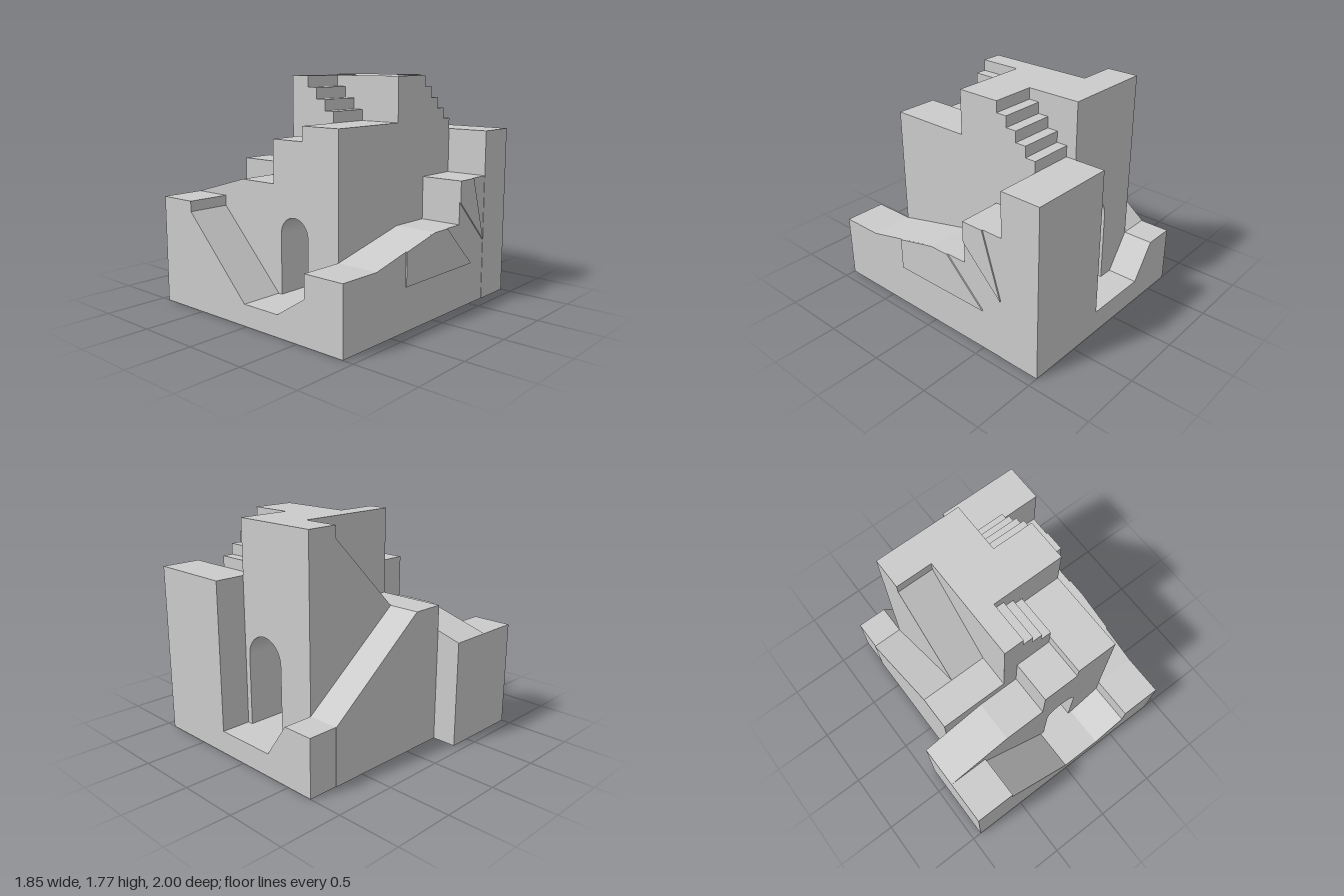
import * as THREE from 'three';

const mat = new THREE.MeshStandardMaterial({ color: 0xcccccc, flatShading: true });

function outline(points) {
  return new THREE.Shape(points.map(([a, b]) => new THREE.Vector2(a, b)));
}

// Round-headed opening cut through a wall
function arch(x0, x1, floor, top) {
  const r = (x1 - x0) / 2;
  const p = new THREE.Path();
  p.moveTo(x0, floor);
  p.lineTo(x1, floor);
  p.lineTo(x1, top - r);
  p.absarc((x0 + x1) / 2, top - r, r, 0, Math.PI, false);
  p.lineTo(x0, floor);
  return p;
}

export function createModel() {
  const group = new THREE.Group();

  function add(name, geometry) {
    const mesh = new THREE.Mesh(geometry, mat);
    mesh.name = name;
    group.add(mesh);
  }

  // Front-facing (x, y) profile, solid from z0 to z1
  function slabZ(name, points, z0, z1, hole) {
    const s = outline(points);
    if (hole) s.holes.push(hole);
    const g = new THREE.ExtrudeGeometry(s, { depth: z1 - z0, bevelEnabled: false, curveSegments: 20 });
    add(name, g.translate(0, 0, z0));
  }

  // Side-facing (z, y) profile, solid from x0 to x1
  function slabX(name, points, x0, x1) {
    const s = outline(points.map(([z, y]) => [-z, y]));
    const g = new THREE.ExtrudeGeometry(s, { depth: x1 - x0, bevelEnabled: false });
    add(name, g.rotateY(Math.PI / 2).translate(x0, 0, 0));
  }

  // Stepped edge: successive [position, height] corners going down
  function steps(start, stride, top, drop, treads) {
    const pts = [[start, top]];
    for (let i = 1; i <= treads; i++) {
      pts.push([start + stride * (i - 1), top - drop * i], [start + stride * i, top - drop * i]);
    }
    return pts;
  }

  const frontArch = () => arch(0.015, 0.285, 0.165, 0.76);

  // Tower hall with the rear archway
  slabZ('rearHall', [[-0.18, 0], [0.235, 0], [0.235, 1.77], [-0.18, 1.77]], -0.76, 0,
    arch(-0.165, 0.19, 0.18, 0.92));

  // Hall below the sideways stair, solid behind and arched in front
  const stairHall = [[-0.18, 0], [-0.18, 1.77], ...steps(-0.02, 0.085, 1.77, 0.085, 3),
    [0.235, 1.43], [0.575, 1.43], [0.575, 0]];
  slabZ('sideStairRear', stairHall, 0, 0.1);
  slabZ('sideStairFront', stairHall, 0.1, 0.33, frontArch());

  // Front wall with sloped wing, low turret and tall pier
  slabZ('frontWall', [[-0.925, 0], [0.575, 0], [0.575, 1.43], [0.235, 1.43], [0.235, 1.32],
    [-0.06, 1.32], [-0.06, 0.99], [-0.4, 0.99], [-0.925, 0.84]], 0.33, 0.66, frontArch());

  // Forecourt with slopes on both sides of the entrance
  slabZ('forecourt', [[-0.925, 0], [0.575, 0], [0.575, 0.33], [0.315, 0.165], [-0.02, 0.165],
    [-0.605, 0.76], [-0.605, 0.84], [-0.925, 0.84]], 0.66, 1);

  // Rear stair wing
  slabX('rearStair', [[0, 0], [0, 1.77], ...steps(-0.34, -0.085, 1.77, 0.085, 4), [-0.68, 0]],
    0.235, 0.575);

  // Ramp climbing to the tower top, and the lower ramp beside it
  slabX('upperRamp', [[-0.76, 0], [0.33, 0], [0.33, 1.095], [0.07, 1.095], [-0.51, 1.68],
    [-0.51, 1.77], [-0.76, 1.77]], -0.475, -0.18);
  slabX('lowerRamp', [[-0.76, 0], [0.33, 0], [0.33, 1.095], [0.07, 1.095], [-0.76, 0.45]],
    -0.73, -0.475);

  // Rear court
  slabZ('rearCourt', [[-0.725, 0], [0.235, 0], [0.235, 0.18], [-0.285, 0.18], [-0.475, 0.45],
    [-0.725, 0.45]], -1, -0.76);

  // Rear corner block
  add('cornerBlock', new THREE.BoxGeometry(0.68, 1.345, 0.32).translate(0.575, 0.6725, -0.84));

  // Flank with a gentle ramp and a raised terrace
  slabX('flank', [[-0.68, 0], [1, 0], [1, 0.505], [0.66, 0.505], [0, 0.66], [-0.33, 0.66],
    [-0.33, 0.995], [-0.68, 0.995]], 0.575, 0.912);

  // Shallow raised panels on the flank
  slabX('flankPanelLow', [[0.34, 0.58], [0.34, 0.33], [-0.5, 0.33], [-0.16, 0.66], [0, 0.66]], 0.9, 0.922);
  slabX('flankPanelHigh', [[-0.33, 0.83], [-0.67, 0.49], [-0.51, 0.995], [-0.33, 0.995]], 0.9, 0.922);

  return group;
}
